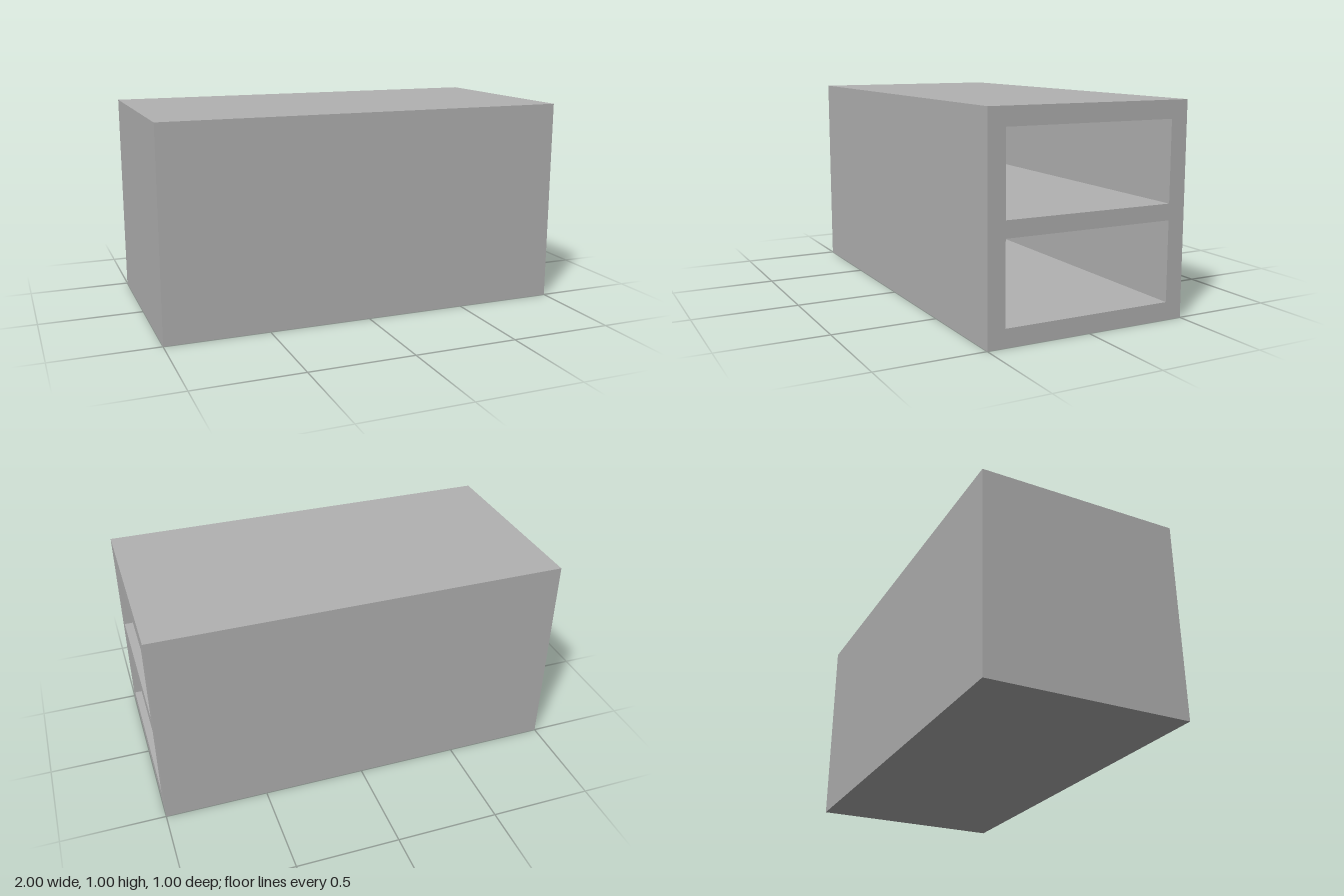
import * as THREE from 'three';

const LENGTH = 2, HEIGHT = 1, DEPTH = 1;
const WALL = 0.084;          // outer wall thickness
const SHELF = 0.076;         // divider between the two compartments

// Adds a rectangle, centred on x = 0, to a shape or path
function rectangle(path, halfWidth, bottom, top) {
  path.moveTo(-halfWidth, bottom);
  path.lineTo(halfWidth, bottom);
  path.lineTo(halfWidth, top);
  path.lineTo(-halfWidth, top);
  path.closePath();
  return path;
}

export function createModel() {
  const group = new THREE.Group();
  group.name = 'twoCompartmentBox';
  const grey = new THREE.MeshStandardMaterial({ color: 0xb2b2b2 });
  grey.name = 'grey';

  // Walls and shelf: a square section with two openings, extruded along x
  const section = rectangle(new THREE.Shape(), DEPTH / 2, 0, HEIGHT);
  const openings = [
    [WALL, (HEIGHT - SHELF) / 2],
    [(HEIGHT + SHELF) / 2, HEIGHT - WALL],
  ];
  for (const [bottom, top] of openings) {
    section.holes.push(rectangle(new THREE.Path(), DEPTH / 2 - WALL, bottom, top));
  }
  const shellGeometry = new THREE.ExtrudeGeometry(section, { depth: LENGTH - WALL, bevelEnabled: false });
  shellGeometry.rotateY(Math.PI / 2);
  shellGeometry.translate(-LENGTH / 2 + WALL, 0, 0);
  const shell = new THREE.Mesh(shellGeometry, grey);
  shell.name = 'wallsAndShelf';
  group.add(shell);

  // Panel closing the far end
  const endPanel = new THREE.Mesh(new THREE.BoxGeometry(WALL, HEIGHT, DEPTH), grey);
  endPanel.name = 'endPanel';
  endPanel.position.set(-LENGTH / 2 + WALL / 2, HEIGHT / 2, 0);
  group.add(endPanel);

  return group;
}
